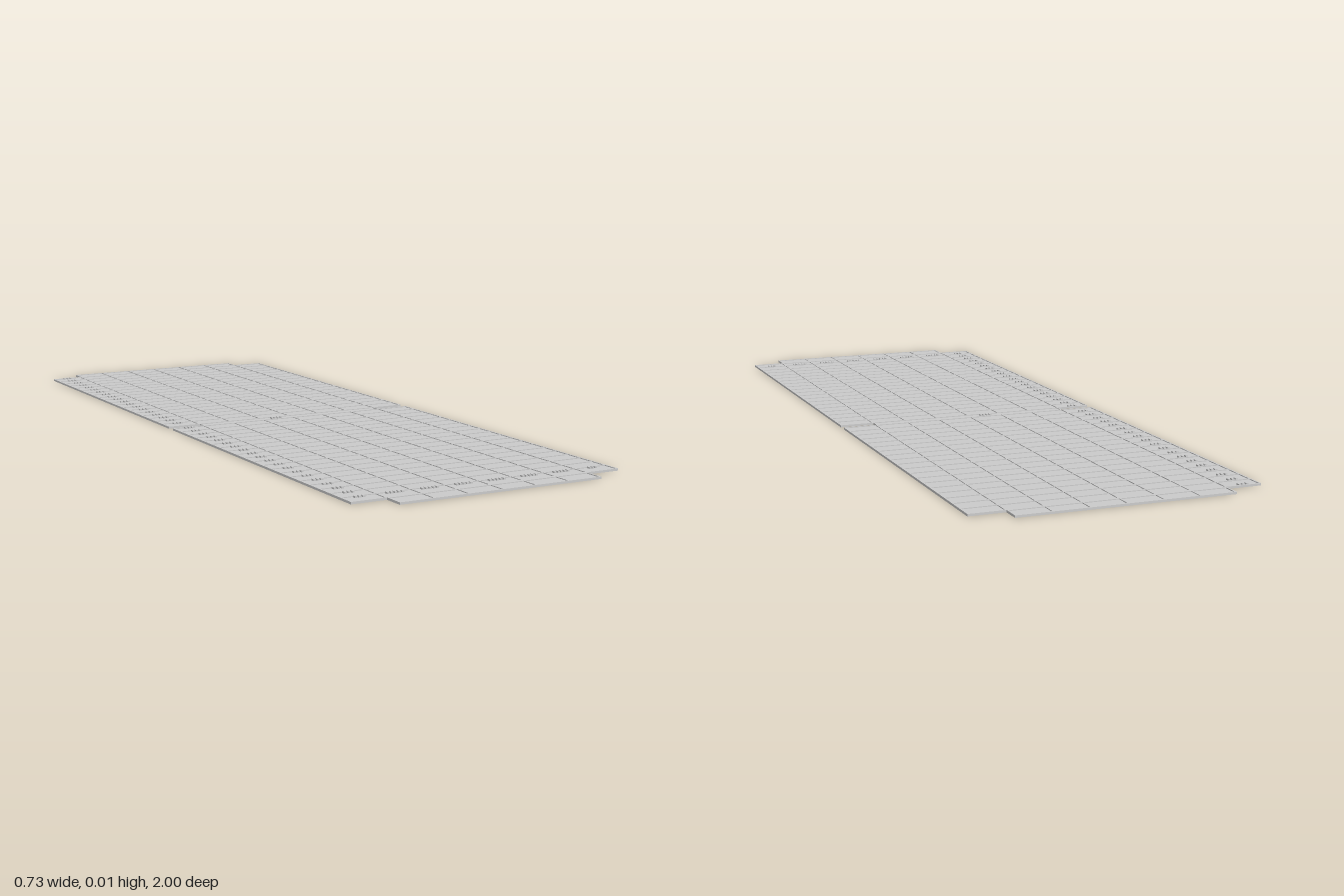
import * as THREE from 'three';
import { mergeGeometries } from 'three/addons/utils/BufferGeometryUtils.js';

const W = 0.366, IN = 0.274;             // half widths: full board, narrow ends
const BACK = -0.952, FRONT = 0.947;      // limits of the wide part
const GAP0 = -0.037, GAP1 = -0.0105;     // centre strip with the side notches
const BASE = 0.0035, RIB = 0.0055, TOP = 0.0075;
const LINE = 0.004, COLS = 8, PITCH = 2 * W / COLS;

// box from its limits in x, y and z
function slab(x0, x1, y0, y1, z0, z1) {
  return new THREE.BoxGeometry(x1 - x0, y1 - y0, z1 - z0)
    .translate((x0 + x1) / 2, (y0 + y1) / 2, (z0 + z1) / 2);
}

export function createModel() {
  const group = new THREE.Group();
  const material = new THREE.MeshStandardMaterial({ color: 0xcccccc, flatShading: true });
  const add = (name, geometry) => {
    const mesh = new THREE.Mesh(geometry, material);
    mesh.name = name;
    group.add(mesh);
  };

  // base sheet: notched outline, mirrored left to right
  const half = [[IN, -1], [IN, BACK], [W, BACK], [W, GAP0], [IN, GAP0],
    [IN, GAP1], [W, GAP1], [W, FRONT], [IN, FRONT], [IN, 1]];
  const outline = [...half, ...half.map(([x, z]) => [-x, z]).reverse()];
  const shape = new THREE.Shape(outline.map(([x, z]) => new THREE.Vector2(x, -z)));
  add('baseSheet', new THREE.ExtrudeGeometry(shape, { depth: BASE, bevelEnabled: false })
    .rotateX(-Math.PI / 2));

  // blocks of the grid: z limits, number of rows, half width, number of columns
  const blocks = [
    { z0: -1, z1: BACK, rows: 1, w: IN, cols: COLS - 2 },
    { z0: BACK, z1: GAP0, rows: 19, w: W, cols: COLS },
    { z0: GAP1, z1: FRONT, rows: 20, w: W, cols: COLS },
    { z0: FRONT, z1: 1, rows: 1, w: IN, cols: COLS - 2 },
  ];
  const ribs = [], marks = [];

  // short raised dashes standing in for a cell marking
  const mark = (x, z, width, count) => {
    const step = width / count;
    for (let i = 0; i < count; i++) {
      const x0 = x - width / 2 + i * step;
      marks.push(slab(x0, x0 + step * 0.6, BASE, TOP, z - 0.005, z + 0.005));
    }
  };

  for (const { z0, z1, rows, w, cols } of blocks) {
    const rowPitch = (z1 - z0) / rows;
    // cross ribs, kept inside the outline
    for (let r = 0; r <= rows; r++) {
      const z = THREE.MathUtils.clamp(z0 + r * rowPitch, z0 + LINE / 2, z1 - LINE / 2);
      ribs.push(slab(-w, w, BASE, RIB, z - LINE / 2, z + LINE / 2));
    }
    // lengthwise ribs
    for (let c = 0; c <= cols; c++) {
      const x = THREE.MathUtils.clamp(-w + c * 2 * w / cols, -w + LINE / 2, w - LINE / 2);
      ribs.push(slab(x - LINE / 2, x + LINE / 2, BASE, RIB, z0, z1));
    }
    // markings down the right-hand column
    if (rows > 1) {
      for (let r = 0; r < rows; r++) mark(-W + PITCH / 2, z0 + r * rowPitch + 0.009, 0.03, 3);
    }
  }
  // side edges of the centre strip
  for (const s of [-1, 1]) {
    const x = s * (IN - LINE / 2);
    ribs.push(slab(x - LINE / 2, x + LINE / 2, BASE, RIB, GAP0, GAP1));
  }
  add('gridRibs', mergeGeometries(ribs));

  // markings along the front row, and one in the centre strip
  for (let c = 1; c < COLS; c++) {
    mark(-W + (c + 0.5) * PITCH, 0.908, c === COLS - 1 ? 0.025 : 0.048, c === COLS - 1 ? 3 : 5);
  }
  mark(-PITCH / 2, (GAP0 + GAP1) / 2, 0.036, 4);
  add('cellMarks', mergeGeometries(marks));

  return group;
}
